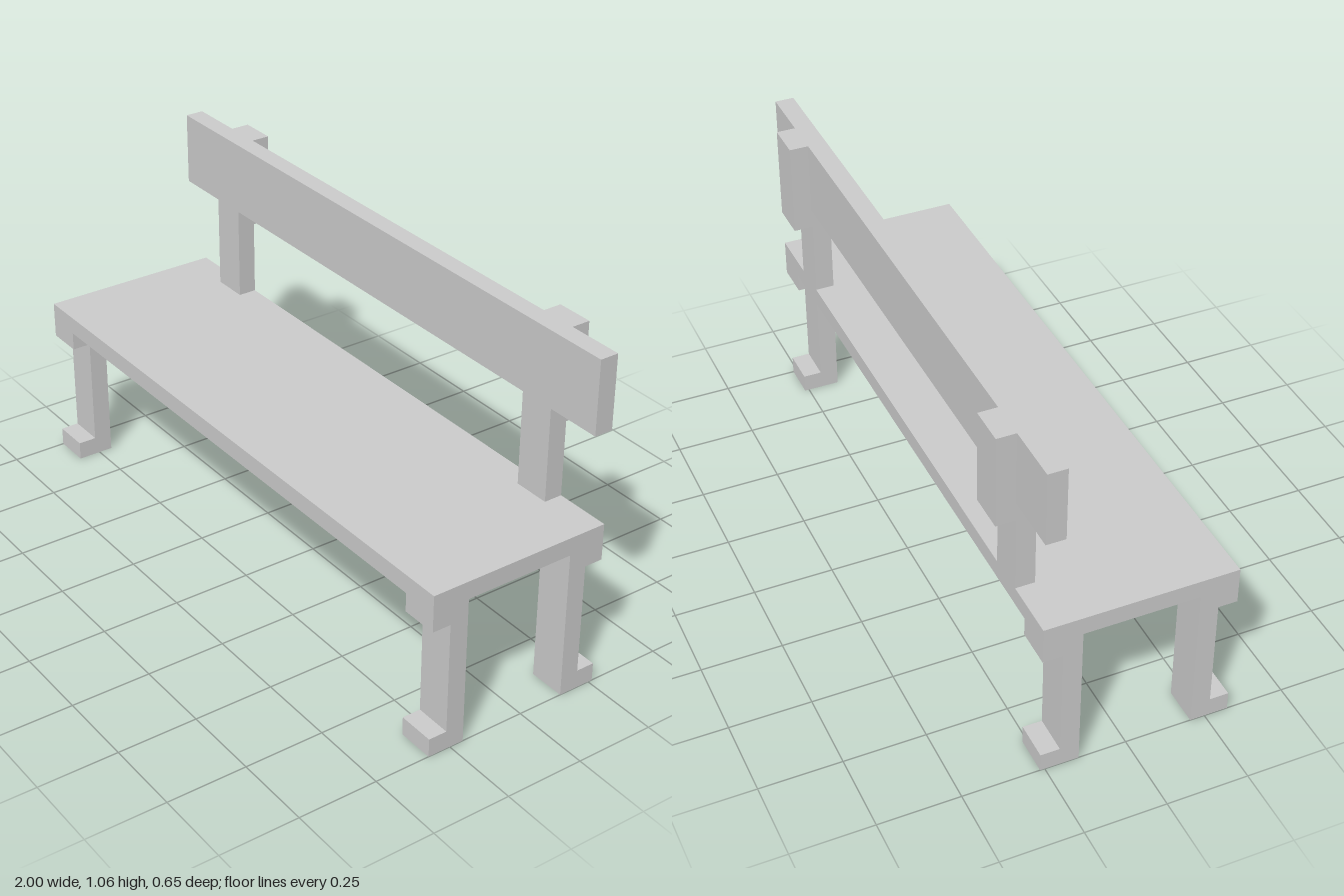
import * as THREE from 'three';

const material = new THREE.MeshStandardMaterial({ color: 0xcccccc, flatShading: true });
const BLOCK = 0.117; // width of legs and posts

// Box given by its lower and upper corners
function slab(name, [x0, y0, z0], [x1, y1, z1]) {
  const geometry = new THREE.BoxGeometry(x1 - x0, y1 - y0, z1 - z0);
  geometry.translate((x0 + x1) / 2, (y0 + y1) / 2, (z0 + z1) / 2);
  const mesh = new THREE.Mesh(geometry, material);
  mesh.name = name;
  return mesh;
}

// Side profile of [z, y] points, extruded along x and centred on x
function sideProfile(name, points, x) {
  const shape = new THREE.Shape(points.map(([z, y]) => new THREE.Vector2(z, y)));
  const geometry = new THREE.ExtrudeGeometry(shape, { depth: BLOCK, bevelEnabled: false });
  geometry.rotateY(-Math.PI / 2);
  geometry.translate(BLOCK / 2, 0, 0);
  const mesh = new THREE.Mesh(geometry, material);
  mesh.name = name;
  mesh.position.x = x;
  return mesh;
}

// C-shaped leg: foot and top bracket point outward from the inner face
function legPoints(inner, dir) {
  const mid = inner + dir * 0.059, outer = inner + dir * 0.118;
  return [
    [inner, 0], [outer, 0], [outer, 0.059], [mid, 0.059],
    [mid, 0.414], [outer, 0.414], [outer, 0.473], [inner, 0.473],
  ];
}

// Post rising from the seat, stepping back behind the backrest
const postPoints = [
  [-0.205, 0.53], [-0.264, 0.53], [-0.264, 0.769], [-0.323, 0.769],
  [-0.323, 1.06], [-0.264, 1.06], [-0.264, 0.828], [-0.205, 0.828],
];

export function createModel() {
  const bench = new THREE.Group();
  bench.name = 'bench';

  bench.add(slab('seat', [-1, 0.473, -0.264], [1, 0.53, 0.323]));
  bench.add(slab('backrest', [-1, 0.828, -0.264], [1, 1.06, -0.205]));

  for (const [side, s] of [['left', 1], ['right', -1]]) {
    const legX = s * (1 - BLOCK / 2);
    bench.add(sideProfile(`${side}FrontLeg`, legPoints(0.205, 1), legX));
    bench.add(sideProfile(`${side}BackLeg`, legPoints(-0.146, -1), legX));
    bench.add(sideProfile(`${side}Post`, postPoints, s * 0.763));
  }
  return bench;
}
